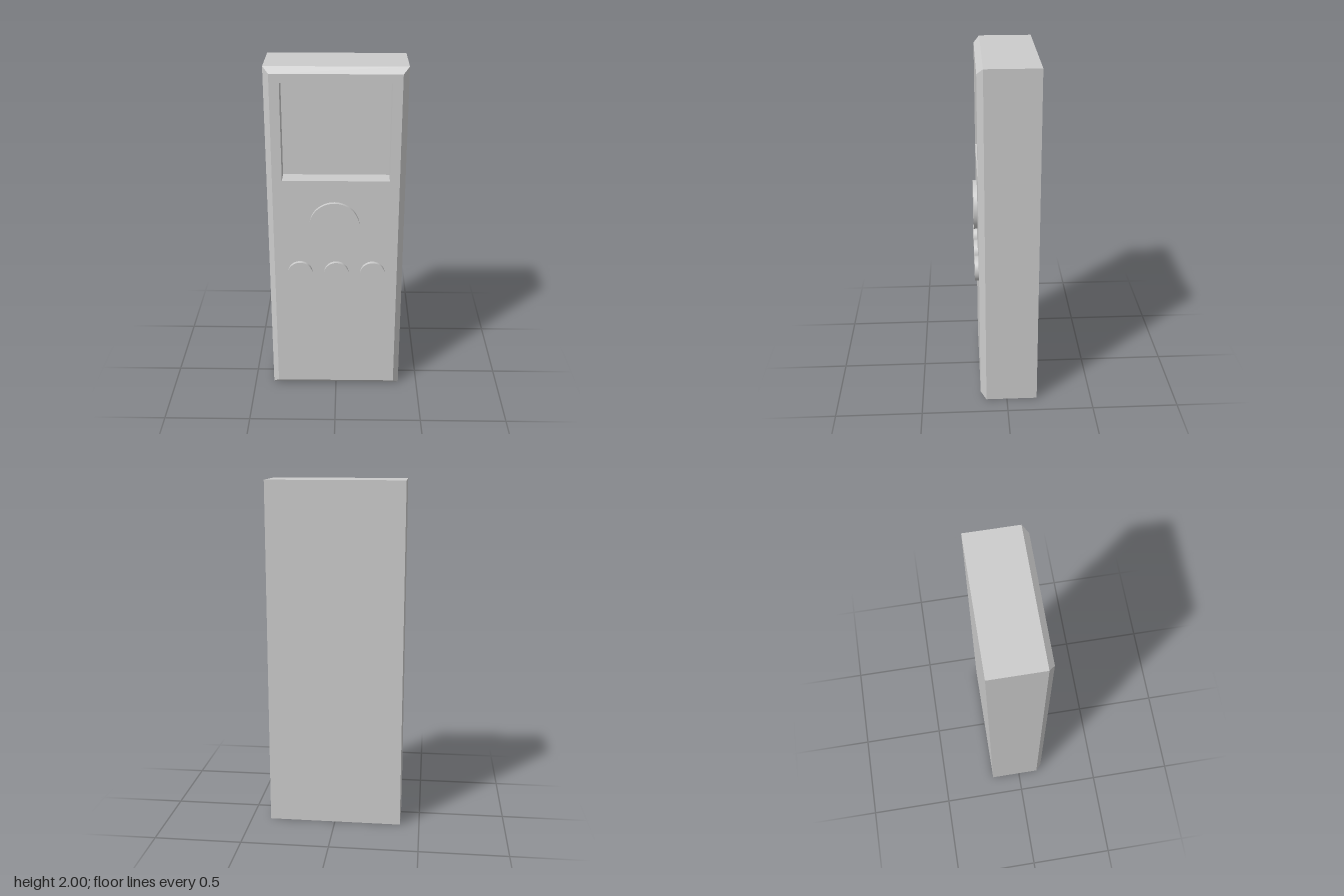
import * as THREE from 'three';

const FRONT = 0.155; // z of the front panel

// Closed shell through rectangular cross-sections [x half-width, yMin, yMax, z], back to front
function rectShell(sections) {
  const rings = sections.map(([w, y0, y1, z]) => [[-w, y0, z], [w, y0, z], [w, y1, z], [-w, y1, z]]);
  const positions = [];
  const quad = (a, b, c, d) => positions.push(...a, ...b, ...c, ...a, ...c, ...d);
  for (let r = 0; r < rings.length - 1; r++) {
    const a = rings[r], b = rings[r + 1];
    for (let i = 0; i < 4; i++) {
      const j = (i + 1) % 4;
      quad(a[i], a[j], b[j], b[i]);
    }
  }
  quad(...[...rings[0]].reverse());
  quad(...rings[rings.length - 1]);
  const geometry = new THREE.BufferGeometry();
  geometry.setAttribute('position', new THREE.Float32BufferAttribute(positions, 3));
  geometry.computeVertexNormals();
  return geometry;
}

export function createModel() {
  const group = new THREE.Group();
  group.name = 'handheldDevice';
  const material = new THREE.MeshStandardMaterial({ color: 0xcccccc });

  // Case: straight sides, chamfered front edge, recessed screen
  const body = new THREE.Mesh(rectShell([
    [0.387, 0, 2, -0.178],
    [0.387, 0, 2, 0.122],
    [0.354, 0.033, 1.967, FRONT],
    [0.299, 1.366, 1.92, FRONT],
    [0.299, 1.366, 1.92, 0.055],
  ]), material);
  body.name = 'caseWithScreenRecess';
  group.add(body);

  // Round buttons, slightly sunk into the panel
  const addButton = (name, x, y, radius) => {
    const geometry = new THREE.CylinderGeometry(radius, radius, 0.032, 64).rotateX(Math.PI / 2);
    const button = new THREE.Mesh(geometry, material);
    button.name = name;
    button.position.set(x, y, FRONT + 0.006);
    group.add(button);
  };
  addButton('mainButton', -0.008, 1.097, 0.142);
  addButton('rightButton', -0.206, 0.795, 0.071);
  addButton('middleButton', 0.003, 0.795, 0.071);
  addButton('leftButton', 0.212, 0.795, 0.071);

  return group;
}
